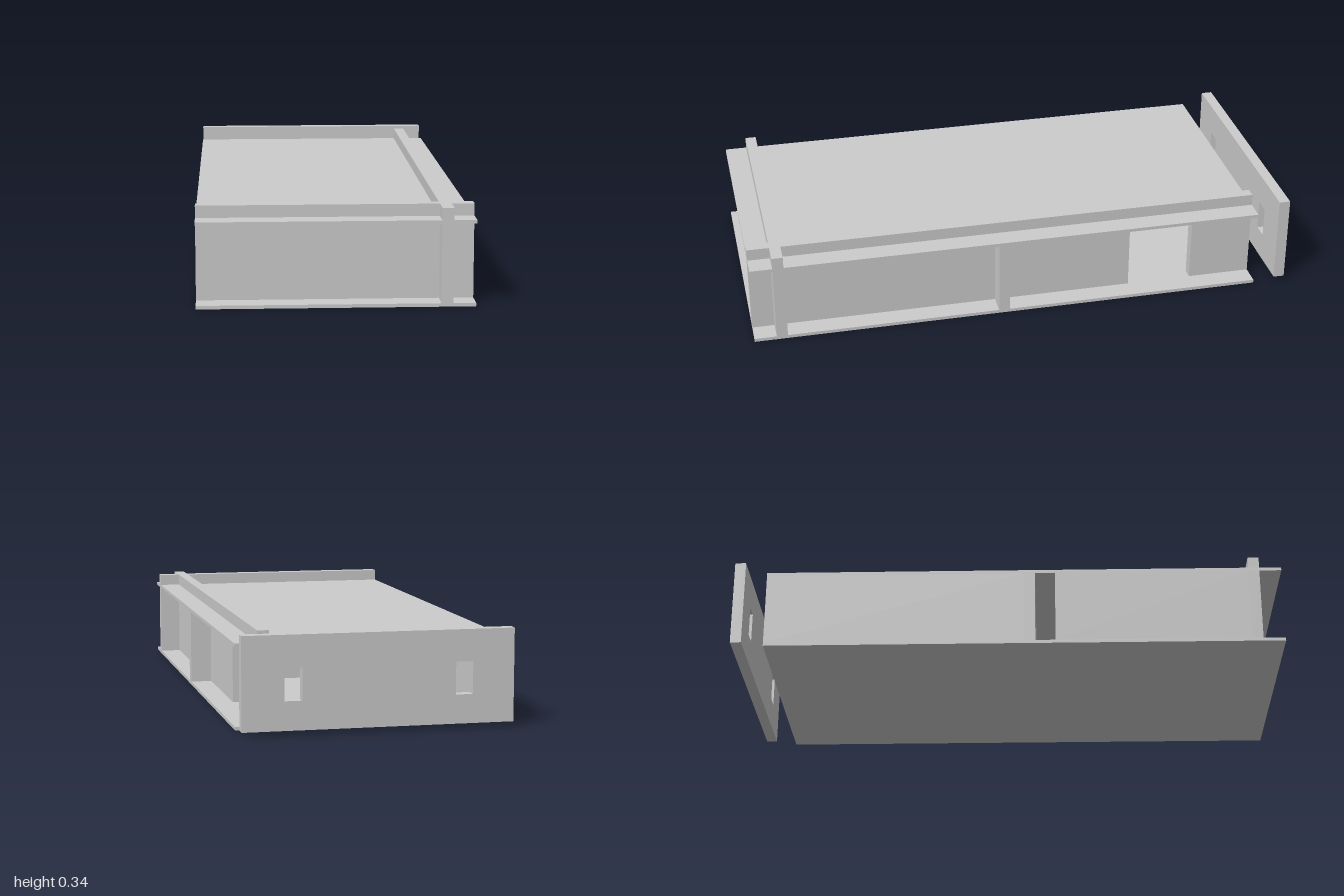
import * as THREE from 'three';

export function createModel() {
  const group = new THREE.Group();
  const material = new THREE.MeshStandardMaterial({ color: 0xcccccc, flatShading: true });

  // Box given by its limits on each axis
  function slab(name, [x0, x1], [y0, y1], [z0, z1]) {
    const mesh = new THREE.Mesh(new THREE.BoxGeometry(x1 - x0, y1 - y0, z1 - z0), material);
    mesh.position.set((x0 + x1) / 2, (y0 + y1) / 2, (z0 + z1) / 2);
    mesh.name = name;
    group.add(mesh);
  }

  const W = 0.47, back = -0.88, front = 1;
  const floorTop = 0.012, ceiling = 0.283, roofTop = 0.295, top = 0.337;
  const room = [floorTop, ceiling], rail = [roofTop, top];
  const longX = [0.353, 0.393], crossZ = [0.88, 0.92], dividerZ = [0.062, 0.102];

  // Floor and roof plates
  slab('floorPlate', [-W, W], [0, floorTop], [back, front]);
  slab('roofPlate', [-W, W], [ceiling, roofTop], [back, front]);

  // Long wall with a doorway, and its rail above the roof
  slab('longWallFront', longX, room, [-0.41, front]);
  slab('longWallBack', longX, room, [back, -0.65]);
  slab('longRail', longX, rail, [back, front]);

  // Front cross wall and rail, on both sides of the long wall
  for (const span of [[-W, longX[0]], [longX[1], W]]) {
    slab('crossWall', span, room, crossZ);
    slab('crossRail', span, rail, crossZ);
    slab('dividerWall', span, room, dividerZ);
  }

  // Outer side wall with a narrow opening beside the divider
  slab('sideWallBack', [-W, -W + 0.04], room, [back, dividerZ[0]]);
  slab('sideWallFront', [-W, -W + 0.04], room, [0.175, crossZ[0]]);

  // Detached back panel with two rectangular windows
  const panel = new THREE.Shape();
  const rect = (path, x0, y0, x1, y1) =>
    path.moveTo(x0, y0).lineTo(x1, y0).lineTo(x1, y1).lineTo(x0, y1).closePath();
  rect(panel, -W, 0.015, W, top);
  for (const x of [-0.295, 0.295]) {
    const hole = new THREE.Path();
    rect(hole, x - 0.03, 0.115, x + 0.03, 0.227);
    panel.holes.push(hole);
  }
  const backPanel = new THREE.Mesh(
    new THREE.ExtrudeGeometry(panel, { depth: 0.04, bevelEnabled: false }), material);
  backPanel.position.z = -1;
  backPanel.name = 'backPanel';
  group.add(backPanel);

  return group;
}
